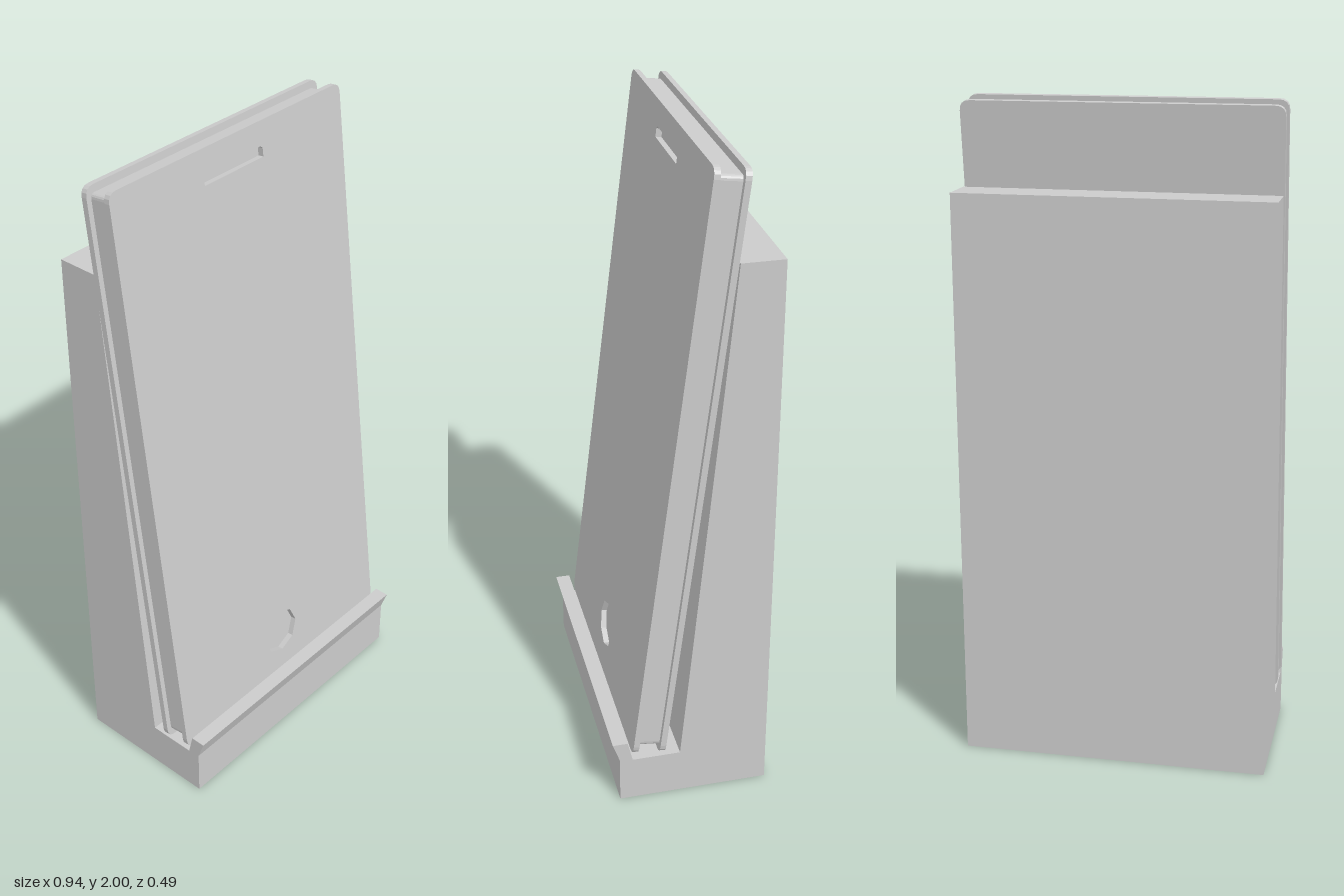
import * as THREE from 'three';

const grey = new THREE.MeshStandardMaterial({ color: 0xcccccc, flatShading: true });
const shell = new THREE.MeshStandardMaterial({ color: 0xcccccc, flatShading: true, side: THREE.DoubleSide });

function addMesh(parent, name, geometry, material = grey) {
  const mesh = new THREE.Mesh(geometry, material);
  mesh.name = name;
  parent.add(mesh);
  return mesh;
}

// Rectangle with rounded corners, centred on x, from y0 to y1
function roundedRect(halfWidth, y0, y1, r) {
  const s = new THREE.Shape();
  s.moveTo(-halfWidth + r, y0);
  s.lineTo(halfWidth - r, y0);
  s.quadraticCurveTo(halfWidth, y0, halfWidth, y0 + r);
  s.lineTo(halfWidth, y1 - r);
  s.quadraticCurveTo(halfWidth, y1, halfWidth - r, y1);
  s.lineTo(-halfWidth + r, y1);
  s.quadraticCurveTo(-halfWidth, y1, -halfWidth, y1 - r);
  s.lineTo(-halfWidth, y0 + r);
  s.quadraticCurveTo(-halfWidth, y0, -halfWidth + r, y0);
  return s;
}

// Slab whose front lies at z = front
function slab(shape, front, depth) {
  const g = new THREE.ExtrudeGeometry(shape, { depth, bevelEnabled: false, curveSegments: 4 });
  return g.translate(0, 0, front - depth);
}

// Hollow stand: side profile as [z, y], extruded across x, open underneath
function standGeometry(width) {
  const profile = [
    [0.222, 0], [0.222, 0.15], [0.243, 0.21], [0.197, 0.21], [0.182, 0.145],
    [0.034, 0.145], [-0.116, 1.737], [-0.243, 1.737], [-0.238, 0],
  ];
  const shape = new THREE.Shape(profile.map(([z, y]) => new THREE.Vector2(-z, y)));
  const solid = new THREE.ExtrudeGeometry(shape, { depth: width, bevelEnabled: false });
  solid.translate(0, 0, -width / 2).rotateY(Math.PI / 2);
  const p = solid.toNonIndexed().attributes.position;
  const kept = [];
  for (let i = 0; i < p.count; i += 3) {
    const corners = [i, i + 1, i + 2];
    if (corners.every((k) => Math.abs(p.getY(k)) < 1e-5)) continue; // leave the bottom open
    for (const k of corners) kept.push(p.getX(k), p.getY(k), p.getZ(k));
  }
  const g = new THREE.BufferGeometry();
  g.setAttribute('position', new THREE.Float32BufferAttribute(kept, 3));
  g.computeVertexNormals();
  return g;
}

export function createModel() {
  const model = new THREE.Group();
  model.name = 'phoneOnStand';

  addMesh(model, 'stand', standGeometry(0.933), shell).position.x = 0.001;

  // Phone leans back against the stand
  const phone = new THREE.Group();
  phone.name = 'phone';
  phone.position.set(-0.003, 0.158, 0.181);
  phone.rotation.x = -0.1215;
  model.add(phone);

  const length = 1.855, halfWidth = 0.466, plate = 0.018, thickness = 0.102;

  // Front plate with an eight-sided button recess and a speaker slot
  const front = roundedRect(halfWidth, 0, length, 0.03);
  const button = new THREE.Path();
  for (let i = 0; i < 8; i++) {
    const a = (-i / 8) * Math.PI * 2;
    const x = 0.075 * Math.cos(a), y = 0.163 + 0.075 * Math.sin(a);
    if (i) button.lineTo(x, y); else button.moveTo(x, y);
  }
  button.closePath();
  const slot = new THREE.Path([
    [-0.12, 1.75], [-0.12, 1.775], [-0.112, 1.783], [0.112, 1.783], [0.12, 1.775], [0.12, 1.75],
  ].map(([x, y]) => new THREE.Vector2(x, y)));
  slot.closePath();
  front.holes.push(button, slot);
  addMesh(phone, 'frontPlate', slab(front, 0, plate));

  // Inset body between the two plates
  const body = roundedRect(halfWidth - 0.016, 0.022, length - 0.022, 0.015);
  addMesh(phone, 'body', slab(body, -plate, thickness - 2 * plate));

  const back = roundedRect(halfWidth, 0, length, 0.03);
  addMesh(phone, 'backPlate', slab(back, plate - thickness, plate));

  return model;
}
